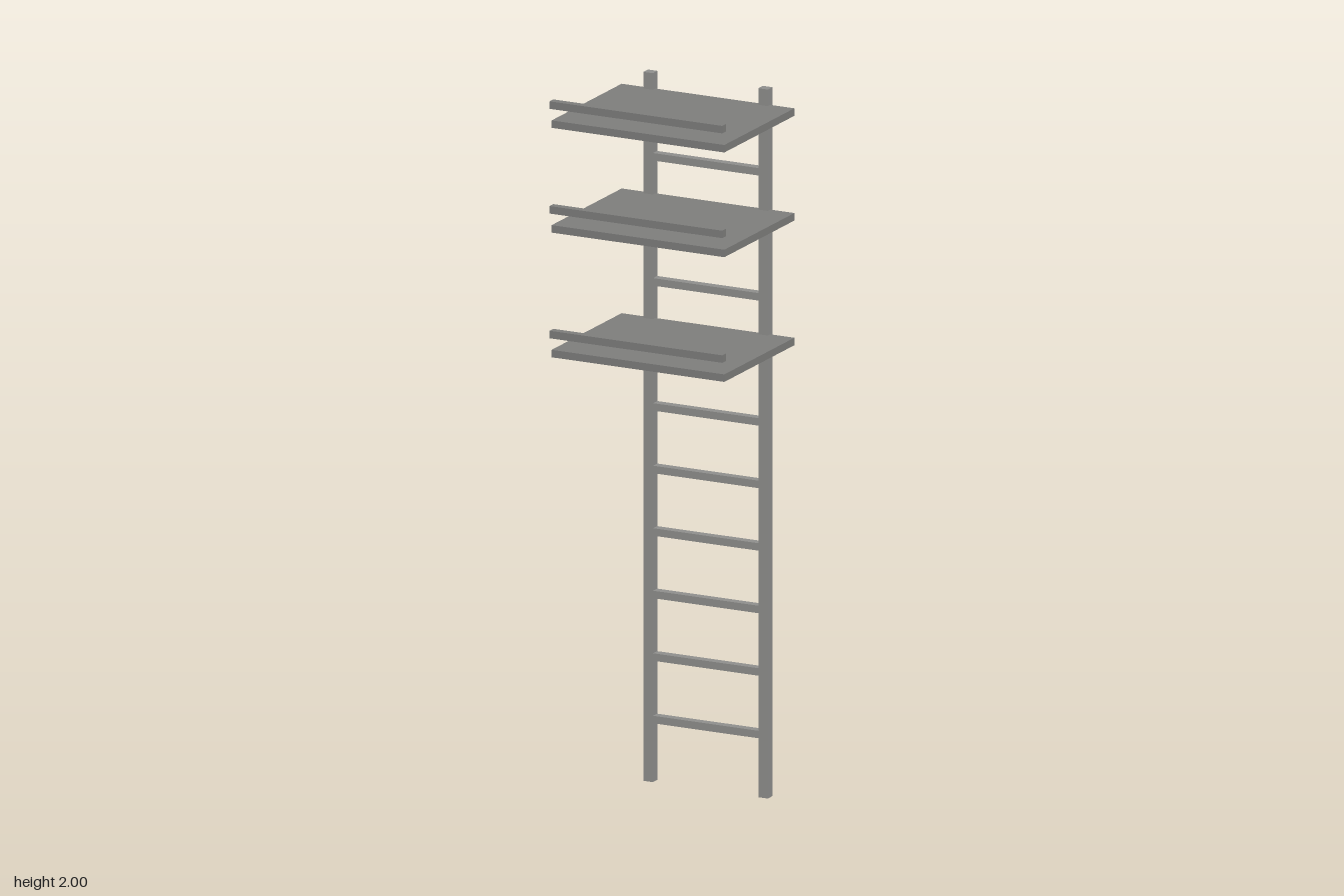
import * as THREE from 'three';

export function createModel() {
  const model = new THREE.Group();
  const ladderMaterial = new THREE.MeshStandardMaterial({ color: 0x8e8e8c, flatShading: true });
  const shelfMaterial = new THREE.MeshStandardMaterial({ color: 0x7d7d7b, flatShading: true });

  const addBox = (name, material, [w, h, d], [x, y, z]) => {
    const mesh = new THREE.Mesh(new THREE.BoxGeometry(w, h, d), material);
    mesh.name = name;
    mesh.position.set(x, y, z);
    model.add(mesh);
  };

  const ladderZ = -0.2035;

  // Ladder uprights
  addBox('leftUpright', ladderMaterial, [0.029, 1.99, 0.027], [0.175, 0.995, ladderZ]);
  addBox('rightUpright', ladderMaterial, [0.029, 1.99, 0.027], [-0.175, 0.995, ladderZ]);

  // Evenly spaced rungs between the uprights
  for (let i = 1; i <= 10; i++) {
    addBox(`rung${i}`, ladderMaterial, [0.33, 0.021, 0.024], [0, i * 0.1755, ladderZ]);
  }

  // Three shelves, each with a separate guard bar above its front edge
  [1.289, 1.639, 1.933].forEach((y, i) => {
    addBox(`shelf${i + 1}`, shelfMaterial, [0.526, 0.021, 0.409], [0, y, 0]);
    addBox(`guardBar${i + 1}`, shelfMaterial, [0.526, 0.021, 0.022], [0, y + 0.0565, 0.2055]);
  });

  return model;
}
